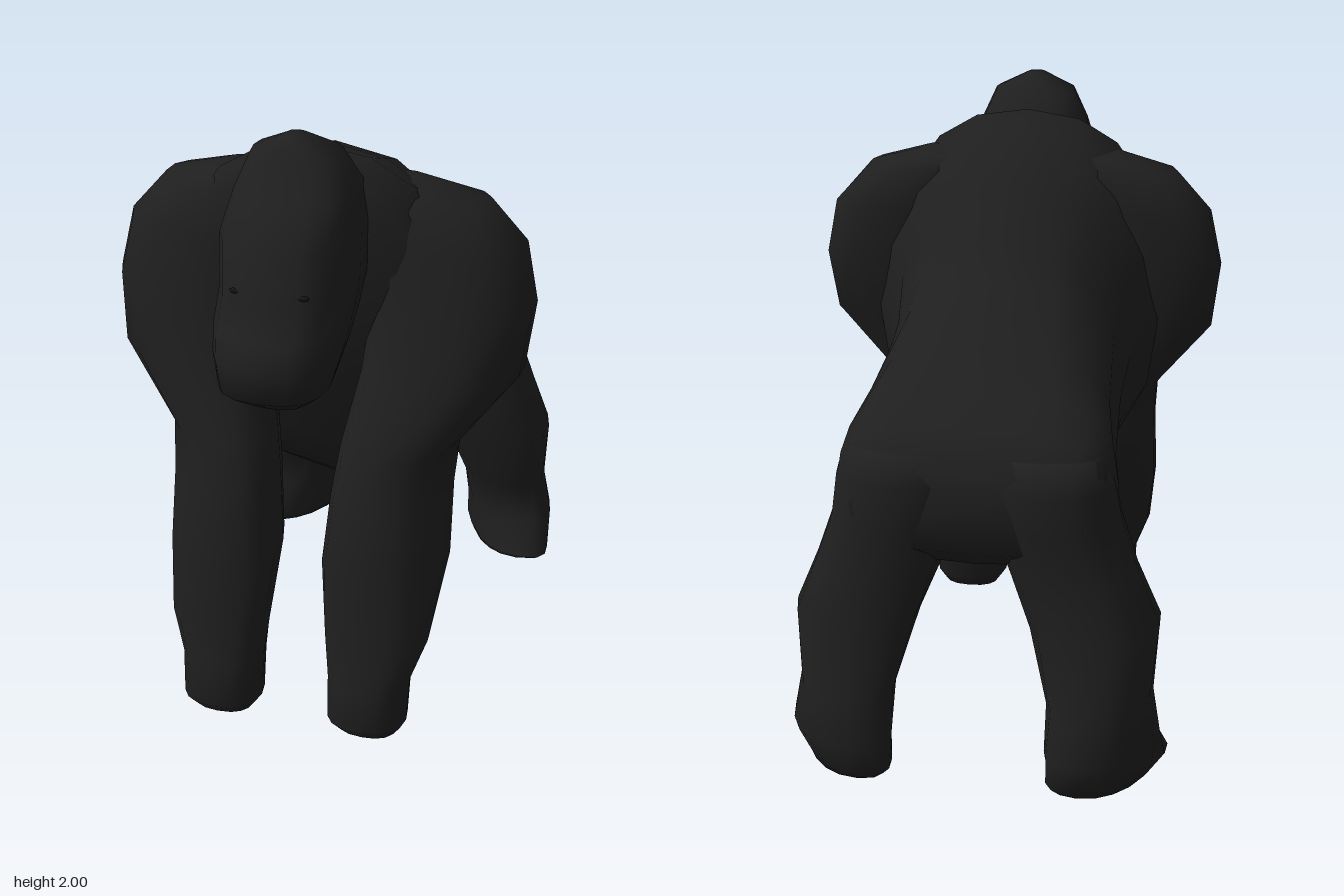
import * as THREE from 'three';

const fur = new THREE.MeshStandardMaterial({ color: 0x1f1f1f });
fur.name = 'dark fur';
const eyeBlack = new THREE.MeshStandardMaterial({ color: 0x141414 });
eyeBlack.name = 'eye black';

const SIDES = 16;

// Skin through rounded cross-sections, listed in rising order along the axis.
// Axis 'y' ring: [y, xMin, xMax, zMin, zMax, skew]; axis 'z' ring: [z, xMin, xMax, yMin, yMax, skew, power].
// Skew slides x along the other direction; power squares off the section.
function loft(name, axis, rings, basePower) {
  const pos = [];
  const index = [];
  const put = (x, other, t) => (axis === 'y' ? pos.push(x, t, other) : pos.push(x, other, t));
  for (const [t, x0, x1, o0, o1, skew = 0, power = basePower] of rings) {
    const round = (v) => Math.sign(v) * Math.pow(Math.abs(v), 2 / power);
    for (let j = 0; j < SIDES; j++) {
      const angle = (j / SIDES) * Math.PI * 2;
      let c = round(Math.cos(angle));
      let s = round(Math.sin(angle));
      if (axis === 'y') [c, s] = [s, c];
      const out = (s * (o1 - o0)) / 2;
      put((x0 + x1) / 2 + (c * (x1 - x0)) / 2 + skew * out, (o0 + o1) / 2 + out, t);
    }
  }
  for (let i = 0; i < rings.length - 1; i++) {
    for (let j = 0; j < SIDES; j++) {
      const k = (j + 1) % SIDES;
      const a = i * SIDES + j;
      const b = i * SIDES + k;
      index.push(a, b, b + SIDES, a, b + SIDES, a + SIDES);
    }
  }
  // End caps
  const last = rings.length - 1;
  for (const i of [0, last]) {
    const [t, x0, x1, o0, o1] = rings[i];
    const center = pos.length / 3;
    put((x0 + x1) / 2, (o0 + o1) / 2, t);
    for (let j = 0; j < SIDES; j++) {
      const a = i * SIDES + j;
      const b = i * SIDES + ((j + 1) % SIDES);
      if (i === 0) index.push(center, b, a);
      else index.push(center, a, b);
    }
  }
  const geometry = new THREE.BufferGeometry();
  geometry.setAttribute('position', new THREE.Float32BufferAttribute(pos, 3));
  geometry.setIndex(index);
  geometry.computeVertexNormals();
  const mesh = new THREE.Mesh(geometry, fur);
  mesh.name = name;
  return mesh;
}

// Centred rings from [t, halfWidth, min, max, power]
const centred = (rows) => rows.map(([t, w, a, b, power]) => [t, -w, w, a, b, 0, power]);
// Swap a limb to the other side of the body
const mirrored = (rows) => rows.map(([t, x0, x1, a, b, skew = 0]) => [t, -x1, -x0, a, b, -skew]);

// Squared-off rump running forward to a rounder chest
const torsoRings = centred([
  [-0.8, 0.36, 0.8, 1.06, 3.2],
  [-0.72, 0.425, 0.73, 1.175, 3.2],
  [-0.57, 0.435, 0.68, 1.23, 3],
  [-0.4, 0.405, 0.63, 1.345, 2.7],
  [-0.2, 0.39, 0.56, 1.48, 2.4],
  [-0.1, 0.385, 0.56, 1.58],
  [0.04, 0.4, 0.6, 1.735],
  [0.15, 0.48, 0.68, 1.85],
  [0.25, 0.47, 0.85, 1.88],
  [0.36, 0.42, 1.14, 1.91],
  [0.45, 0.3, 1.39, 1.87],
]);

const headRings = centred([
  [1.24, 0.1, 0.64, 0.82],
  [1.3, 0.165, 0.57, 0.915],
  [1.4, 0.19, 0.47, 0.92],
  [1.48, 0.2, 0.38, 0.895],
  [1.56, 0.205, 0.32, 0.825],
  [1.73, 0.205, 0.3, 0.81],
  [1.84, 0.185, 0.33, 0.69],
  [1.95, 0.135, 0.42, 0.63],
  [2.0, 0.03, 0.5, 0.58],
]);

const armRings = [
  [0.005, 0.15, 0.35, 0.53, 0.69],
  [0.05, 0.118, 0.38, 0.5, 0.73],
  [0.2, 0.115, 0.385, 0.48, 0.715],
  [0.34, 0.1, 0.435, 0.45, 0.685, -0.1],
  [0.58, 0.08, 0.46, 0.29, 0.67, -0.15],
  [0.82, 0.1, 0.455, 0.24, 0.63, -0.15],
  [0.97, 0.12, 0.465, 0.21, 0.59, -0.15],
  [1.21, 0.17, 0.65, 0.15, 0.53, -0.2],
  [1.42, 0.19, 0.675, 0.12, 0.48, -0.2],
  [1.61, 0.15, 0.635, 0.11, 0.45, -0.2],
  [1.74, 0.1, 0.52, 0.13, 0.41, -0.15],
  [1.79, 0.1, 0.34, 0.18, 0.36],
];

// Feet turn outward
const legRings = [
  [0.01, 0.3, 0.55, -0.86, -0.53, 0.45],
  [0.04, 0.29, 0.57, -0.885, -0.49, 0.5],
  [0.15, 0.26, 0.58, -0.917, -0.585, 0.35],
  [0.3, 0.25, 0.56, -0.88, -0.545, 0.2],
  [0.53, 0.18, 0.58, -0.838, -0.46, 0.1],
  [0.7, 0.11, 0.51, -0.82, -0.45],
  [0.86, 0.05, 0.455, -0.815, -0.43],
  [1.01, 0.03, 0.43, -0.83, -0.47],
  [1.1, 0.06, 0.39, -0.785, -0.54],
];

export function createModel() {
  const model = new THREE.Group();
  model.name = 'gorilla';
  model.add(loft('torso', 'z', torsoRings, 2.2));
  model.add(loft('head', 'y', headRings, 2.6));
  model.add(loft('leftArm', 'y', armRings, 2.4));
  model.add(loft('rightArm', 'y', mirrored(armRings), 2.4));
  model.add(loft('leftLeg', 'y', legRings, 2.4));
  model.add(loft('rightLeg', 'y', mirrored(legRings), 2.4));

  // Small eyes under the brow
  for (const side of [1, -1]) {
    const eye = new THREE.Mesh(new THREE.SphereGeometry(1, 10, 6), eyeBlack);
    eye.name = side > 0 ? 'leftEye' : 'rightEye';
    eye.scale.set(0.022, 0.009, 0.01);
    eye.position.set(side * 0.1, 1.6, 0.799);
    model.add(eye);
  }
  return model;
}
